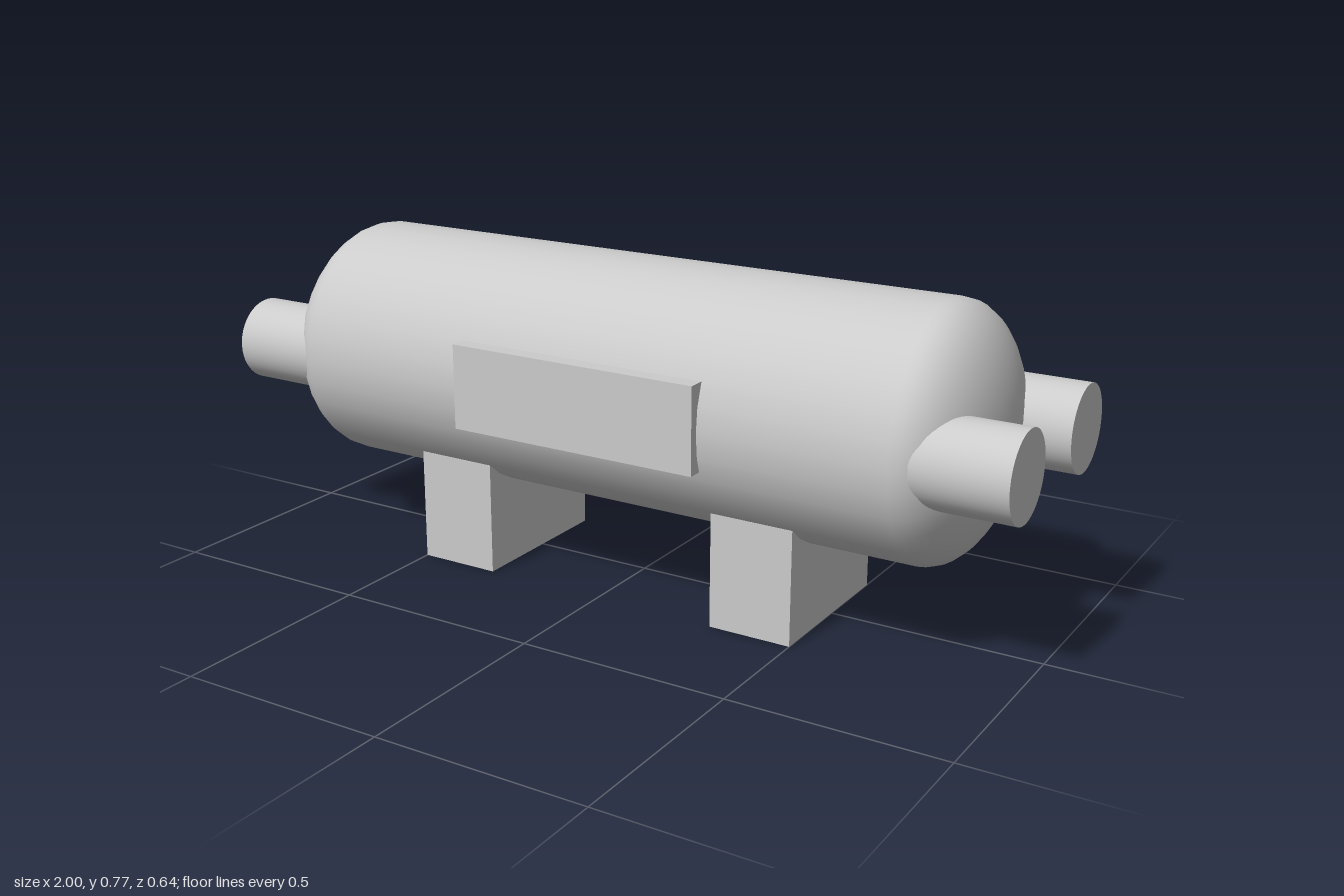
import * as THREE from 'three';

const AXIS_Y = 0.48, AXIS_Z = 0.01, RADIUS = 0.29;

export function createModel() {
  const group = new THREE.Group();
  const material = new THREE.MeshStandardMaterial({ color: 0xcccccc });

  const add = (name, geometry, x, y, z) => {
    const mesh = new THREE.Mesh(geometry, material);
    mesh.name = name;
    mesh.position.set(x, y, z);
    group.add(mesh);
    return mesh;
  };

  // Horizontal vessel: straight shell closed by two elliptical heads
  const shellHalf = 0.75, headDepth = 0.15, steps = 12;
  const head = [];
  for (let i = 0; i <= steps; i++) {
    const a = (i / steps) * Math.PI / 2;
    head.push(new THREE.Vector2(i === steps ? 0 : RADIUS * Math.cos(a), shellHalf + headDepth * Math.sin(a)));
  }
  const lower = head.map(p => new THREE.Vector2(p.x, -p.y)).reverse();
  const vessel = new THREE.LatheGeometry([...lower, ...head], 32);
  add('vessel', vessel.rotateZ(-Math.PI / 2), 0, AXIS_Y, AXIS_Z);

  for (const side of [1, -1]) {
    const sideName = side > 0 ? 'left' : 'right';

    // Pair of pipe nozzles entering each head
    for (const end of [1, -1]) {
      const nozzle = new THREE.CylinderGeometry(0.1, 0.1, 0.3, 48).rotateZ(-Math.PI / 2);
      add(`${sideName}${end > 0 ? 'Front' : 'Back'}Nozzle`, nozzle, side * 0.85, AXIS_Y, AXIS_Z + end * 0.18);
    }

    // Support block under the shell
    add(`${sideName}Support`, new THREE.BoxGeometry(0.2, 0.27, 0.4), side * 0.4, 0.135, AXIS_Z);

    // Flat plate on the front and back of the shell
    add(side > 0 ? 'frontPlate' : 'backPlate', new THREE.BoxGeometry(0.625, 0.2, 0.05), 0, 0.49, side * 0.294);
  }

  return group;
}
